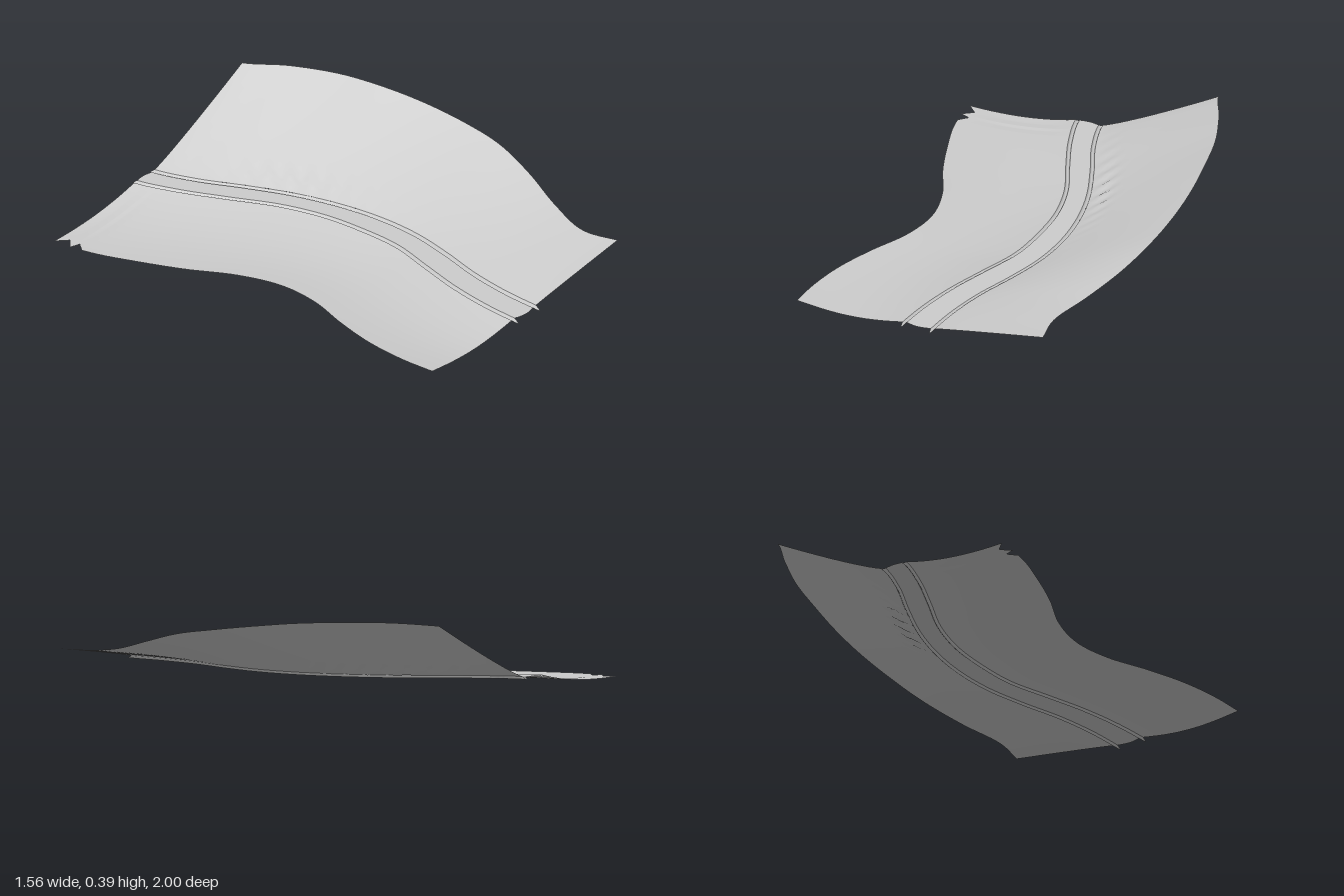
import * as THREE from 'three';

// Stations run from z = -1 to z = 1 in steps of 0.2
const leftX = [-0.785, -0.755, -0.68, -0.59, -0.48, -0.42, -0.43, -0.49, -0.535, -0.55, -0.54];
const rightX = [0.44, 0.55, 0.645, 0.705, 0.75, 0.775, 0.778, 0.745, 0.685, 0.637, 0.68];
const roadL = [-0.245, -0.175, -0.075, 0.03, 0.095, 0.12, 0.12, 0.075, 0.03, 0.005, 0];
const roadR = [-0.15, -0.08, 0.025, 0.12, 0.185, 0.22, 0.222, 0.19, 0.145, 0.122, 0.12];
const rightY = [0.385, 0.395, 0.39, 0.375, 0.35, 0.32, 0.285, 0.23, 0.175, 0.145, 0.142];
const BACK = -0.98, FRONT = 0.967, ROWS = 72, VERGE = 0.02;

// Smooth interpolation of a station list at depth z
function at(list, z) {
  const f = THREE.MathUtils.clamp((z + 1) / 0.2, 0, list.length - 1.0001);
  const i = Math.floor(f), t = f - i;
  const p = k => list[THREE.MathUtils.clamp(k, 0, list.length - 1)];
  const a = p(i - 1), b = p(i), c = p(i + 1), d = p(i + 2);
  return b + 0.5 * t * (c - a + t * (2 * a - 5 * b + 4 * c - d + t * (3 * (b - c) + d - a)));
}

const roadY = z => 0.073 - 0.027 * z;
const leftY = z => 0.026 - 0.008 * z;

// Torn notch at the back left corner
function notch(z) {
  const keys = [[-0.98, 0], [-0.935, 0.045], [-0.895, -0.005], [-0.88, 0.04], [-0.84, 0]];
  for (let i = 0; i < 4; i++) {
    const [z0, a] = keys[i], [z1, b] = keys[i + 1];
    if (z >= z0 && z <= z1) return a + (b - a) * (z - z0) / (z1 - z0);
  }
  return 0;
}

// Each strip maps (t across, z along) to [x, y]
const mix = THREE.MathUtils.lerp;
function leftLand(t, z) {
  const x = mix(at(leftX, z) + notch(z), at(roadL, z) - VERGE, t);
  const dip = 0.008 * (1 + z) * Math.sin(Math.PI * t);
  return [x, mix(leftY(z), roadY(z) - 0.003, Math.pow(t, 2.3)) - dip];
}
function rightLand(t, z) {
  const x = mix(at(roadR, z) + VERGE, at(rightX, z), t);
  const power = mix(1.1, 0.95, (z + 1) / 2);
  // Rough bank beside the upper road
  const rough = Math.exp(-Math.pow((z + 0.45) / 0.28, 2)) * Math.exp(-Math.pow((t - 0.12) / 0.08, 2));
  const bump = 0.007 * rough * Math.sin(z * 70 + t * 25);
  return [x, mix(roadY(z) + 0.004, at(rightY, z), Math.pow(t, power)) + bump];
}
const road = (t, z) => [mix(at(roadL, z), at(roadR, z), t), roadY(z)];
const groove = t => -0.011 * Math.sin(Math.PI * t);
const leftVerge = (t, z) => [at(roadL, z) - VERGE * (1 - t), roadY(z) - 0.003 * (1 - t) + groove(t)];
const rightVerge = (t, z) => [at(roadR, z) + VERGE * t, roadY(z) + 0.004 * t + groove(t)];

// Strip of quads; endJag lengthens the middle of its torn ends
function strip(name, profile, cols, material, endJag = 0) {
  const pos = [], index = [];
  // Extra rows at the torn notch keep its points sharp
  const zs = [-0.935, -0.895, -0.88, -0.84];
  for (let r = 0; r <= ROWS; r++) zs.push(mix(BACK, FRONT, r / ROWS));
  zs.sort((a, b) => a - b);
  zs.forEach((z, r) => {
    for (let c = 0; c <= cols; c++) {
      const t = c / cols, [x, y] = profile(t, z);
      const jag = endJag * Math.sin(Math.PI * t);
      const end = r === 0 ? -jag * 0.6 : r === zs.length - 1 ? jag : 0;
      pos.push(x, y, z + end);
      if (r < zs.length - 1 && c < cols) {
        const a = r * (cols + 1) + c, b = a + cols + 1;
        index.push(a, b, a + 1, a + 1, b, b + 1);
      }
    }
  });
  const geo = new THREE.BufferGeometry();
  geo.setAttribute('position', new THREE.Float32BufferAttribute(pos, 3));
  geo.setIndex(index);
  geo.computeVertexNormals();
  const mesh = new THREE.Mesh(geo, material);
  mesh.name = name;
  return mesh;
}

export function createModel() {
  const group = new THREE.Group();
  group.name = 'hillsideRoad';
  const ground = new THREE.MeshStandardMaterial({ color: 0xcccccc, side: THREE.DoubleSide });
  ground.name = 'pale grey ground';
  group.add(
    strip('lowerField', leftLand, 24, ground),
    strip('leftVerge', leftVerge, 4, ground, 0.03),
    strip('road', road, 6, ground, 0.012),
    strip('rightVerge', rightVerge, 4, ground, 0.03),
    strip('upperSlope', rightLand, 28, ground)
  );
  return group;
}
